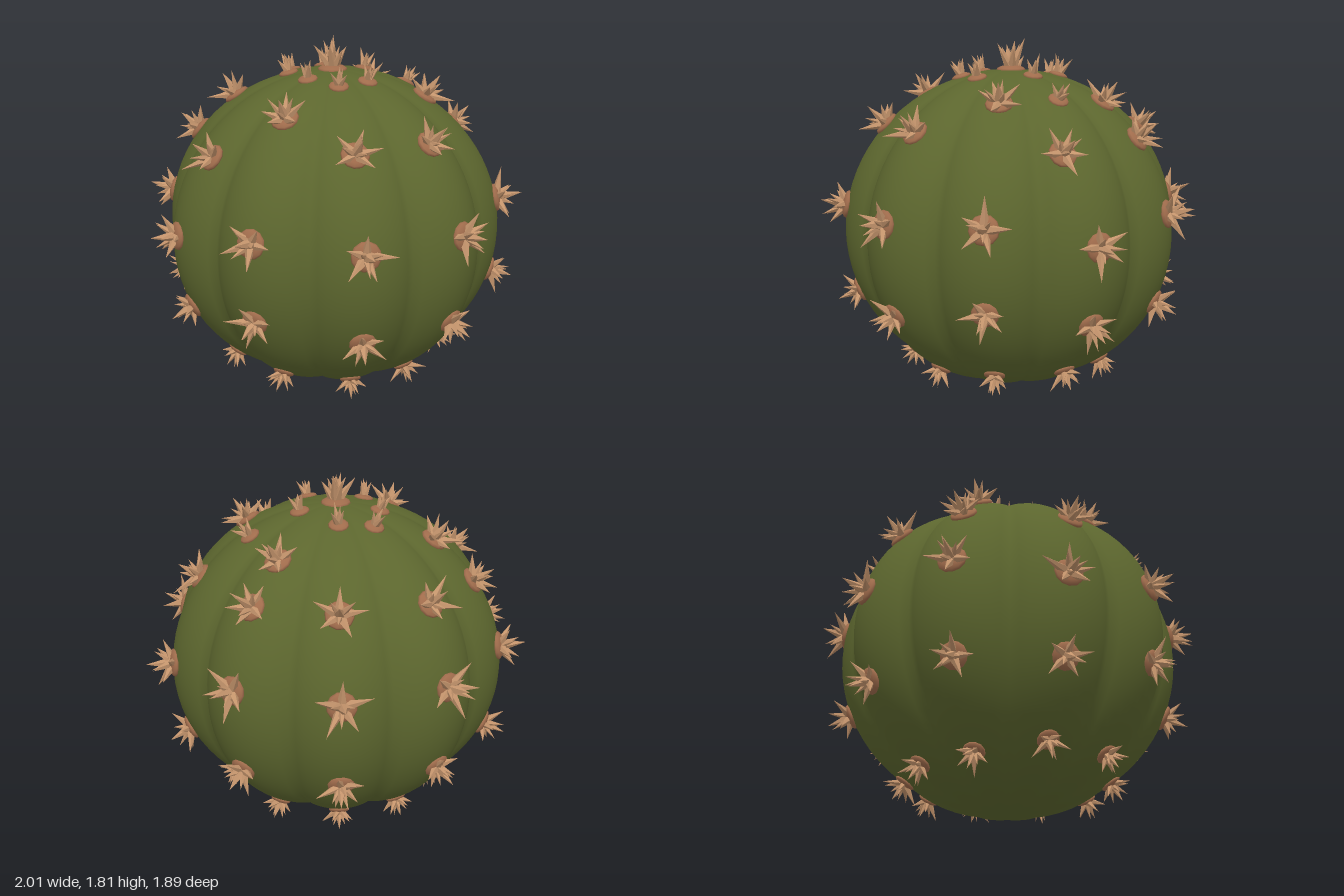
import * as THREE from 'three';
import { mergeVertices } from 'three/addons/utils/BufferGeometryUtils.js';

const RADIUS = 0.87, HALF_HEIGHT = 0.825, MID = 0.835, RIBS = 10;
const UP = new THREE.Vector3(0, 1, 0);

// small seeded random source
function makeRandom(seed) {
  return () => (seed = (seed * 16807) % 2147483647) / 2147483647;
}

// rounded lobes with a narrow valley between each pair
const ribFactor = (angle) => 0.915 + 0.085 * Math.pow(Math.abs(Math.cos(angle * RIBS / 2)), 0.8);

// point on the ribbed surface at an azimuth and height
function surfacePoint(angle, y) {
  const t = THREE.MathUtils.clamp((y - MID) / HALF_HEIGHT, -1, 1);
  const r = RADIUS * Math.sqrt(1 - t * t) * ribFactor(angle);
  return new THREE.Vector3(Math.cos(angle) * r, y, Math.sin(angle) * r);
}

function surfaceNormal(p) {
  return new THREE.Vector3(p.x / RADIUS ** 2, (p.y - MID) / HALF_HEIGHT ** 2, p.z / RADIUS ** 2).normalize();
}

function bodyGeometry() {
  let g = new THREE.SphereGeometry(1, 120, 40);
  const p = g.attributes.position;
  for (let i = 0; i < p.count; i++) {
    const x = p.getX(i), z = p.getZ(i);
    const k = RADIUS * ribFactor(Math.atan2(z, x));
    p.setXYZ(i, x * k, MID + p.getY(i) * HALF_HEIGHT, z * k);
  }
  g.deleteAttribute('uv');
  g.deleteAttribute('normal');
  g = mergeVertices(g, 1e-4);
  g.computeVertexNormals();
  return g;
}

export function createModel() {
  const model = new THREE.Group();
  model.name = 'barrelCactus';
  const green = new THREE.MeshStandardMaterial({ color: 0x5c662e });
  green.name = 'cactusGreen';
  const tan = new THREE.MeshStandardMaterial({ color: 0xc4946c, flatShading: true });
  tan.name = 'spineTan';
  const brown = new THREE.MeshStandardMaterial({ color: 0xa06c4c });
  brown.name = 'cushionBrown';

  const body = new THREE.Mesh(bodyGeometry(), green);
  body.name = 'ribbedBody';
  model.add(body);

  const random = makeRandom(4711);
  const jitter = (amount) => (random() - 0.5) * 2 * amount;
  const spineGeometry = new THREE.ConeGeometry(1, 1, 5).translate(0, 0.5, 0);
  const cushionGeometry = new THREE.SphereGeometry(1, 12, 8);

  // one cushion with a central spine and a ring of leaning spines
  function addCluster(position, normal, { size = 1, arms = 5, lean = 1.08, centre = 0.14 } = {}) {
    const cluster = new THREE.Group();
    cluster.name = 'spineCluster';
    cluster.position.copy(position);
    cluster.quaternion.setFromUnitVectors(UP, normal);
    cluster.scale.setScalar(size);

    const cushion = new THREE.Mesh(cushionGeometry, brown);
    cushion.name = 'cushion';
    cushion.scale.set(0.072, 0.026, 0.072);
    cluster.add(cushion);

    const addSpine = (tilt, turn, length, width) => {
      const spine = new THREE.Mesh(spineGeometry, tan);
      spine.name = 'spine';
      const dir = new THREE.Vector3(
        Math.sin(tilt) * Math.cos(turn), Math.cos(tilt), Math.sin(tilt) * Math.sin(turn));
      spine.quaternion.setFromUnitVectors(UP, dir);
      spine.scale.set(width, length, width);
      cluster.add(spine);
    };
    addSpine(jitter(0.15), random() * 6.28, centre, 0.034);
    const start = random() * 6.28;
    for (let i = 0; i < arms; i++) {
      const turn = start + (i / arms) * Math.PI * 2 + jitter(0.2);
      addSpine(lean + jitter(0.15), turn, 0.145 + jitter(0.025), 0.03);
    }
    // shorter spines filling the tuft
    for (let i = 0; i < arms - 2; i++) {
      addSpine(lean * 0.5 + jitter(0.12), start + 0.6 + i * 6.28 / (arms - 2), 0.125 + jitter(0.02), 0.025);
    }
    model.add(cluster);
  }

  function addOnBody(angle, y, options) {
    const p = surfacePoint(angle, y);
    addCluster(p, surfaceNormal(p), options);
  }

  // lower three rows, one cluster on every rib
  for (let i = 0; i < RIBS; i++) {
    const a = (i / RIBS) * Math.PI * 2;
    const side = i % 5 === 0;
    const frontShoulder = i === 1 || i === 4;
    addOnBody(a, side ? 0.91 : frontShoulder ? 1.01 : 0.98);
    addOnBody(a, frontShoulder ? 0.61 : 0.52, { size: 0.92 });
    addOnBody(a, side || frontShoulder ? 0.21 : 0.17, { size: 0.75, lean: 0.95 });
  }

  // upper clusters: x, z, y
  const upper = [
    [-0.22, 0.64, 1.39], [0.2, 0.65, 1.39], [-0.26, -0.73, 1.34], [0.24, -0.72, 1.35],
    [-0.61, -0.45, 1.32], [0.59, -0.43, 1.34], [-0.74, 0.09, 1.31], [0.72, 0.1, 1.32],
    [-0.43, -0.31, 1.51], [0.43, -0.33, 1.51], [-0.42, 0.3, 1.51], [0.39, 0.27, 1.53],
  ];
  for (const [x, z, y] of upper) addOnBody(Math.atan2(z, x), y, { size: 0.95 });
  addOnBody(-0.04, 1.54, { size: 0.72, arms: 3, lean: 0.6 });

  // small young clusters around the crown: x, z
  const crown = [
    [0.19, -0.02], [0.07, -0.23], [-0.09, -0.27], [-0.18, -0.12],
    [-0.18, 0.08], [-0.09, 0.23], [0.07, 0.22],
  ];
  for (const [x, z] of crown) {
    const r = Math.hypot(x, z) / RADIUS / 0.96;
    addOnBody(Math.atan2(z, x), MID + HALF_HEIGHT * Math.sqrt(1 - r * r), { size: 0.7, arms: 3, lean: 0.4, centre: 0.12 });
  }

  // upright crown tuft
  addCluster(new THREE.Vector3(0, 1.655, 0), UP, { size: 1.05, arms: 6, lean: 0.55, centre: 0.145 });
  return model;
}
